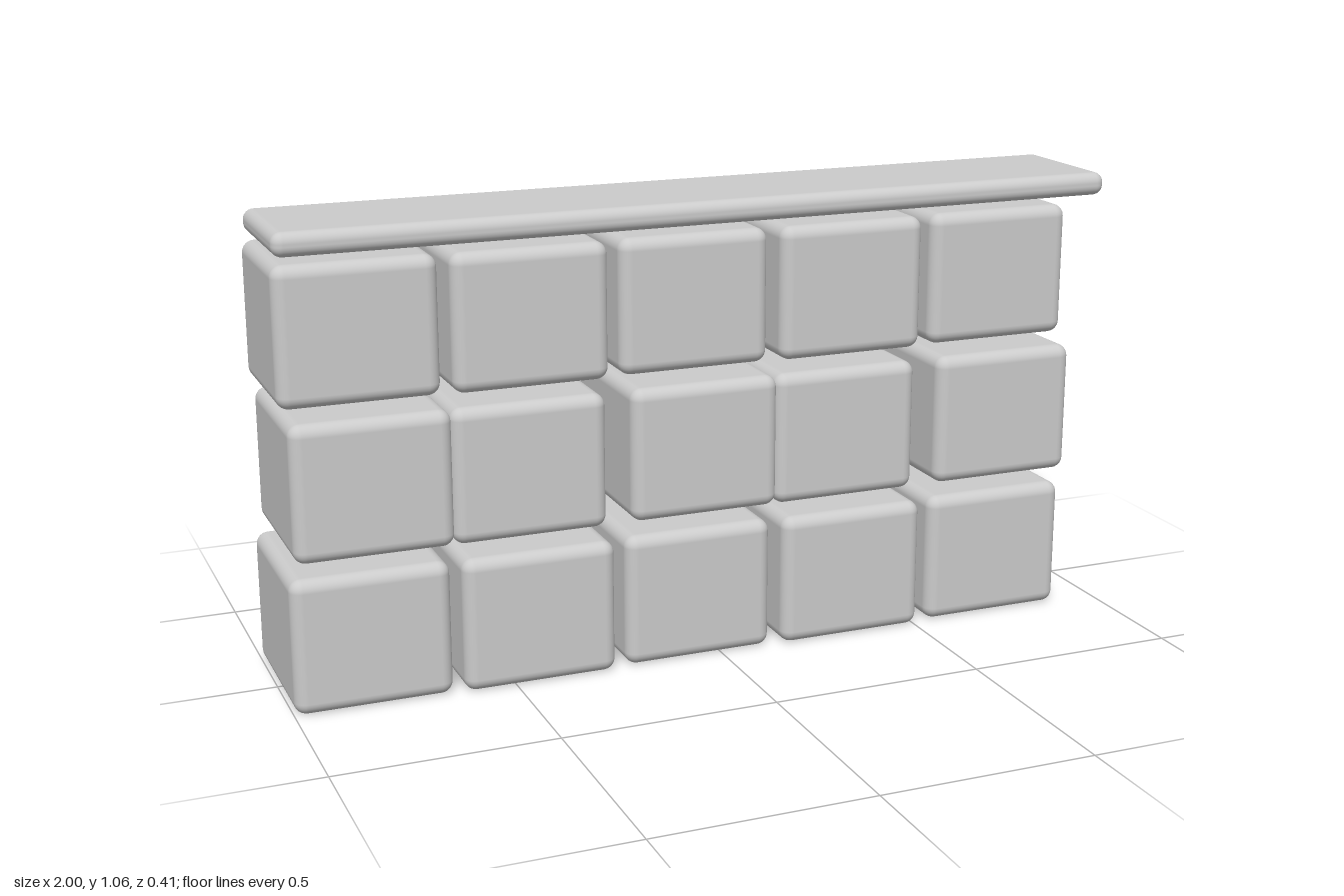
import * as THREE from 'three';
import { RoundedBoxGeometry } from 'three/addons/geometries/RoundedBoxGeometry.js';

export function createModel() {
  const wall = new THREE.Group();
  wall.name = 'stoneWall';
  const material = new THREE.MeshStandardMaterial({ color: 0xcccccc });

  // Rounded block centred on x and z, resting on y = bottom
  function addBlock(name, x, bottom, width, height, depth, radius) {
    const geometry = new RoundedBoxGeometry(width, height, depth, 4, radius);
    const mesh = new THREE.Mesh(geometry, material);
    mesh.name = name;
    mesh.position.set(x, bottom + height / 2, 0);
    wall.add(mesh);
  }

  // Three courses of stones: even stones stand slightly prouder in outer courses
  const outer = [-0.82, -0.44, -0.055, 0.33, 0.715];
  const middle = [-0.805, -0.453, -0.037, 0.313, 0.73];
  const courses = [
    { name: 'bottomStone', y: 0, xs: outer, depths: [0.385, 0.405] },
    { name: 'middleStone', y: 0.342, xs: middle, depths: [0.378, 0.378] },
    { name: 'topStone', y: 0.68, xs: outer, depths: [0.335, 0.355] },
  ];
  for (const { name, y, xs, depths } of courses) {
    xs.forEach((x, i) => addBlock(name + (i + 1), x, y, 0.356, 0.31, depths[i % 2], 0.028));
  }

  // Long capping slab
  addBlock('capSlab', 0.003, 1.005, 1.99, 0.054, 0.327, 0.024);
  return wall;
}
